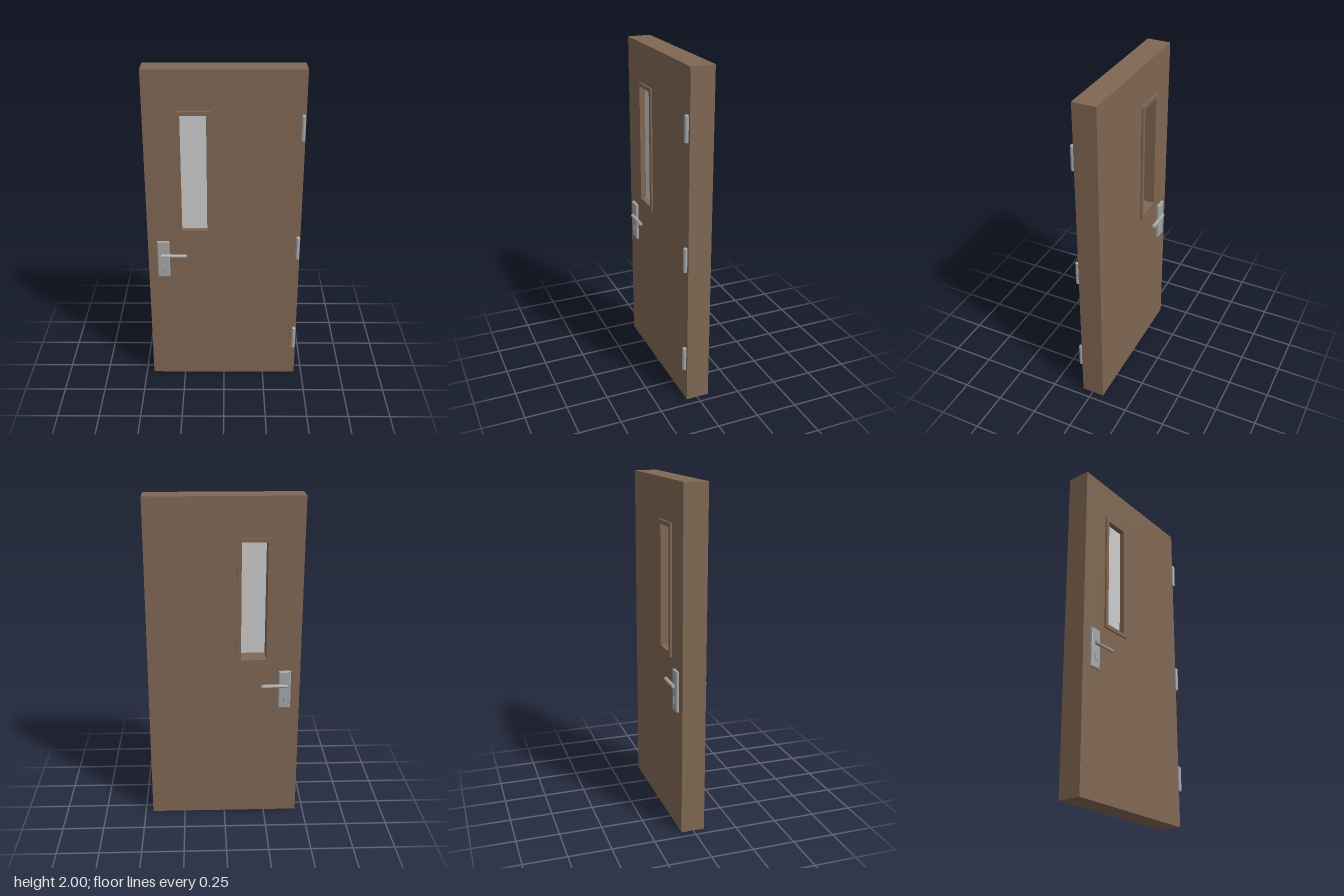
import * as THREE from 'three';

const wood = new THREE.MeshStandardMaterial({ color: 0x80674f });
wood.color.set(0x806753);
const metal = new THREE.MeshStandardMaterial({ color: 0xa4a6a8, flatShading: true });
const pane = new THREE.MeshStandardMaterial({ color: 0xcccccc });

function rectPoints(x0, x1, y0, y1) {
  return [[x0, y0], [x1, y0], [x1, y1], [x0, y1]].map(([x, y]) => new THREE.Vector2(x, y));
}

// Rectangular panel with a window opening, spanning z0..z1
function openPanel(outer, hole, z0, z1) {
  const shape = new THREE.Shape(rectPoints(...outer));
  shape.holes.push(new THREE.Path(rectPoints(...hole)));
  const geo = new THREE.ExtrudeGeometry(shape, { depth: z1 - z0, bevelEnabled: false });
  return geo.translate(0, 0, z0);
}

// Plate on the local z = 0 plane with a bevelled outer edge
function plateGeometry(width, height, depth, bevel) {
  const w = width / 2 - bevel, h = height / 2 - bevel;
  const geo = new THREE.ExtrudeGeometry(new THREE.Shape(rectPoints(-w, w, -h, h)), {
    depth: depth, bevelEnabled: true, bevelThickness: bevel, bevelSize: bevel, bevelSegments: 2,
  });
  return geo.translate(0, 0, -bevel);
}

function add(parent, name, geometry, material, x = 0, y = 0, z = 0) {
  const mesh = new THREE.Mesh(geometry, material);
  mesh.name = name;
  mesh.position.set(x, y, z);
  parent.add(mesh);
  return mesh;
}

// Handle set, built facing +z with the door face at z = 0
function makeHandle(name) {
  const g = new THREE.Group();
  g.name = name;
  add(g, 'backPlate', plateGeometry(0.073, 0.238, 0.017 - 0.006, 0.006), metal, 0, 0, 0.006);
  const spindle = new THREE.CylinderGeometry(0.008, 0.008, 0.026, 12).rotateX(Math.PI / 2);
  add(g, 'spindle', spindle, metal, 0, 0.028, 0.013);
  const lever = new THREE.CylinderGeometry(0.0115, 0.0115, 0.153, 8)
    .rotateY(Math.PI / 8).rotateZ(Math.PI / 2).scale(1, 0.88, 1.04);
  add(g, 'lever', lever, metal, 0.063, 0.028, 0.0225);
  add(g, 'keyCylinder', plateGeometry(0.013, 0.04, 0.02, 0.003), metal, 0, -0.056, 0.003);
  return g;
}

export function createModel() {
  const door = new THREE.Group();
  door.name = 'door';
  const zFront = 0.067, zBack = -0.072;

  // Slab and window
  const opening = [-0.247, -0.098, 1.04, 1.745];
  const trim = [-0.27, -0.073, 1.015, 1.768];
  add(door, 'slab', openPanel([-0.453, 0.453, 0, 2], opening, zBack, zFront), wood);
  add(door, 'frontWindowTrim', openPanel(trim, opening, zFront, 0.077), wood);
  add(door, 'backWindowTrim', openPanel(trim, opening, -0.084, zBack), wood);
  add(door, 'glass', new THREE.BoxGeometry(0.149, 0.705, 0.008), pane, -0.1725, 1.3925, 0.04);

  // Handles, the back one mirrored by a half turn with its lever kept toward the hinges
  const front = makeHandle('frontHandle');
  front.position.set(-0.3615, 0.846, zFront);
  const back = makeHandle('backHandle');
  back.position.set(-0.3615, 0.846, zBack);
  back.scale.z = -1;
  door.add(front, back);

  // Hinge knuckles with softened ends
  const r = 0.012, h = 0.0765, b = 0.005;
  const profile = [[0, -h], [r - b, -h], [r, -h + b], [r, h - b], [r - b, h], [0, h]]
    .map(([x, y]) => new THREE.Vector2(x, y));
  const hinge = new THREE.LatheGeometry(profile, 16);
  const names = ['lowerHinge', 'middleHinge', 'upperHinge'];
  [0.281, 0.923, 1.675].forEach((y, i) => add(door, names[i], hinge, metal, 0.438, y, 0.08));

  return door;
}
